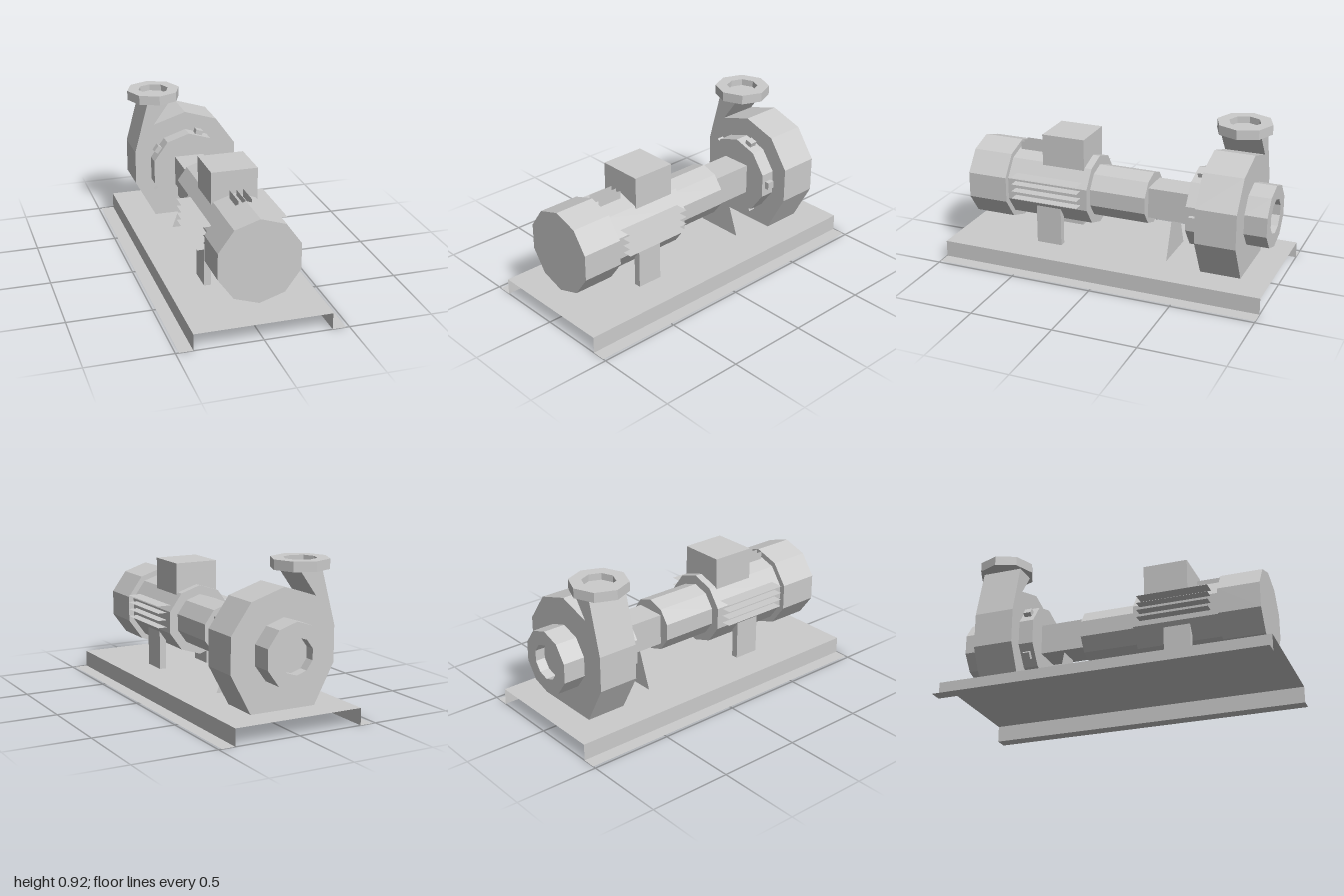
import * as THREE from 'three';

const solid = new THREE.MeshStandardMaterial({ color: 0xcccccc, flatShading: true });
const thin = new THREE.MeshStandardMaterial({ color: 0xcccccc, flatShading: true, side: THREE.DoubleSide });
const AXIS_Y = 0.43; // height of the shaft axis

export function createModel() {
  const model = new THREE.Group();
  model.name = 'motorPump';

  const add = (name, geometry, material = solid, parent = model) => {
    const mesh = new THREE.Mesh(geometry, material);
    mesh.name = name;
    parent.add(mesh);
    return mesh;
  };
  // Box given by its limits on each axis
  const box = (name, x0, x1, y0, y1, z0, z1) =>
    add(name, new THREE.BoxGeometry(x1 - x0, y1 - y0, z1 - z0)
      .translate((x0 + x1) / 2, (y0 + y1) / 2, (z0 + z1) / 2));
  // Ten-sided drum lying along the shaft axis
  const drum = (name, r, z0, z1) =>
    add(name, new THREE.CylinderGeometry(r, r, z1 - z0, 10)
      .rotateX(Math.PI / 2).translate(0, AXIS_Y, (z0 + z1) / 2));
  // Flat sheets without thickness: horizontal and upright along z
  const flatSheet = (name, x0, x1, y, z0, z1) =>
    add(name, new THREE.PlaneGeometry(x1 - x0, z1 - z0).rotateX(-Math.PI / 2)
      .translate((x0 + x1) / 2, y, (z0 + z1) / 2), thin);
  const uprightSheet = (name, x, y0, y1, z0, z1) =>
    add(name, new THREE.PlaneGeometry(z1 - z0, y1 - y0).rotateY(Math.PI / 2)
      .translate(x, (y0 + y1) / 2, (z0 + z1) / 2), thin);
  // Pipe end with a blind bore, growing along +y
  const socket = (r, bore, height, depth, sides) =>
    new THREE.LatheGeometry([[0, 0], [r, 0], [r, height], [bore, height],
      [bore, height - depth], [0, height - depth]].map(p => new THREE.Vector2(...p)), sides);

  // Folded base plate
  flatSheet('baseTop', -0.4, 0.4, 0.1, -1, 1);
  for (const s of [-1, 1]) {
    uprightSheet('baseSide', s * 0.4, 0, 0.1, -1, 1);
    flatSheet('baseFlange', s * 0.44 - 0.04, s * 0.44 + 0.04, 0, -1, 1);
  }

  // Motor
  drum('fanCover', 0.25, 0.66, 0.91);
  drum('motorBody', 0.215, 0.14, 0.66);
  drum('bearingHousing', 0.16, -0.21, 0.14);
  box('terminalBox', -0.137, 0.137, 0.585, 0.783, 0.185, 0.455);

  // Feet and cooling fins on both sides
  for (const s of [-1, 1]) {
    box('motorFoot', s * 0.166 - 0.021, s * 0.166 + 0.021, 0.1, 0.34, 0.32, 0.48);
    for (let i = 0; i < 4; i++) {
      flatSheet('sideFin', s * 0.222 - 0.042, s * 0.222 + 0.042, 0.395 + i * 0.045, 0.18, 0.61);
    }
  }
  for (const x of [-0.04, 0, 0.04]) uprightSheet('topFin', x, 0.6, 0.68, 0.487, 0.647);

  // Coupling guard with its triangular support
  box('couplingGuard', -0.093, 0.093, 0.337, 0.523, -0.49, -0.21);
  const support = new THREE.Shape([[-0.153, 0.1], [0.153, 0.1], [0, 0.52]]
    .map(p => new THREE.Vector2(...p)));
  add('guardSupport', new THREE.ShapeGeometry(support).translate(0, 0, -0.35), thin);

  // Pump cover with five bolts
  drum('pumpCover', 0.24, -0.58, -0.49);
  for (let i = 0; i < 5; i++) {
    add('coverBolt', new THREE.BoxGeometry(0.047, 0.046, 0.046).translate(0.2335, 0, 0)
      .rotateZ(i * Math.PI * 2 / 5).translate(0, AXIS_Y, -0.5375));
  }

  // Volute casing running up into the discharge neck
  const volute = new THREE.Shape([
    [-0.205, 0.1], [0.205, 0.1], [0.33, 0.333], [0.33, 0.545], [0.205, 0.72],
    [0, 0.785], [-0.205, 0.72], [-0.105, 0.86], [-0.245, 0.86], [-0.33, 0.545], [-0.33, 0.333],
  ].map(p => new THREE.Vector2(...p)));
  add('volute', new THREE.ExtrudeGeometry(volute, { depth: 0.245, bevelEnabled: false })
    .translate(0, 0, -0.825));

  // Discharge flange and suction inlet
  add('dischargeFlange', socket(0.169, 0.096, 0.058, 0.04, 8).translate(-0.175, 0.86, -0.705));
  add('suctionInlet', socket(0.19, 0.105, 0.135, 0.06, 10)
    .rotateX(-Math.PI / 2).translate(0, AXIS_Y, -0.825));

  return model;
}
